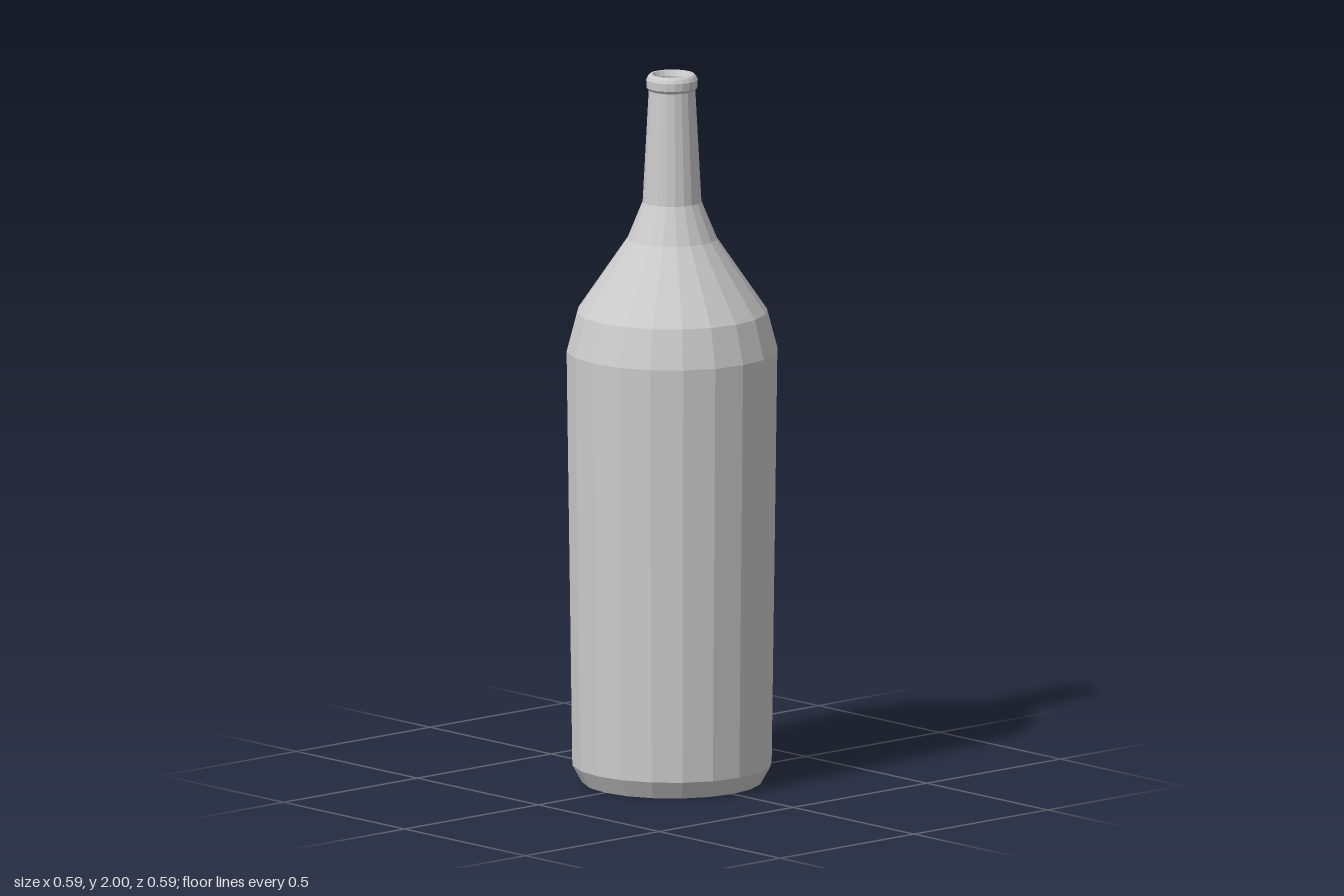
import * as THREE from 'three';

const SIDES = 20;

export function createModel() {
  const bottle = new THREE.Group();
  bottle.name = 'bottle';
  const glass = new THREE.MeshStandardMaterial({ color: 0xcccccc, flatShading: true });
  glass.name = 'pale grey';

  // Faceted ring surface from a list of [radius, height] points
  const addLathe = (name, profile) => {
    const points = profile.map(([r, y]) => new THREE.Vector2(r, y));
    const mesh = new THREE.Mesh(new THREE.LatheGeometry(points, SIDES), glass);
    mesh.name = name;
    bottle.add(mesh);
  };

  // Flat base with a bevelled foot
  addLathe('base', [[0, 0], [0.25, 0], [0.278, 0.05]]);
  // Slightly flared body
  addLathe('body', [[0.278, 0.05], [0.294, 1.22]]);
  // Shoulder sweeping in to the neck
  addLathe('shoulder', [[0.294, 1.22], [0.265, 1.33], [0.125, 1.535], [0.082, 1.64]]);
  // Tapered neck
  addLathe('neck', [[0.082, 1.64], [0.065, 1.955]]);
  // Rounded lip with a shallow recessed mouth
  addLathe('lip', [[0.065, 1.955], [0.071, 1.963], [0.072, 1.985], [0.067, 1.995], [0.062, 2], [0.055, 2], [0.048, 1.985]]);
  addLathe('mouth', [[0.048, 1.985], [0.048, 1.97], [0, 1.97]]);

  return bottle;
}
